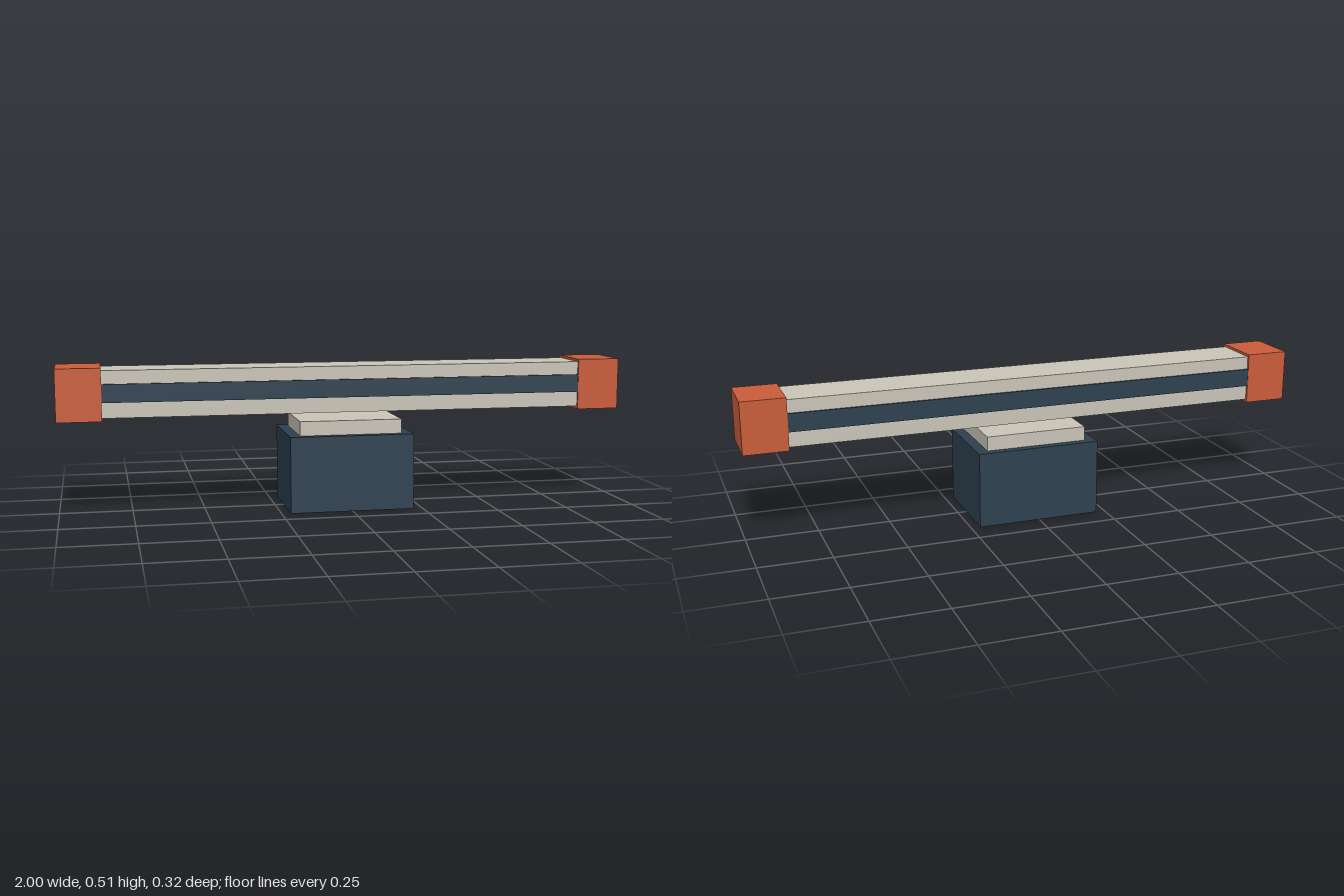
import * as THREE from 'three';

export function createModel() {
  const model = new THREE.Group();
  model.name = 'beamOnBase';

  const mat = (name, color) => {
    const m = new THREE.MeshStandardMaterial({ color });
    m.name = name;
    return m;
  };
  const navy = mat('navy', 0x2d404f);
  const cream = mat('cream', 0xc9c4b7);
  const orange = mat('orange', 0xc95c3a);

  // Box of width w and depth d, spanning heights y0 to y1
  const box = (name, material, w, d, y0, y1, x = 0, z = 0) => {
    const mesh = new THREE.Mesh(new THREE.BoxGeometry(w, y1 - y0, d), material);
    mesh.name = name;
    mesh.position.set(x, (y0 + y1) / 2, z);
    model.add(mesh);
  };

  // Pedestal with its raised plate
  box('base', navy, 0.436, 0.323, 0, 0.265);
  box('basePlate', cream, 0.36, 0.267, 0.265, 0.315);

  // Long beam hovering above the plate
  box('beam', cream, 1.7, 0.172, 0.338, 0.5);

  // Stripes along the front and back, and blocks on the ends
  for (const side of [1, -1]) {
    box(side > 0 ? 'frontStripe' : 'backStripe', navy, 1.7, 0.008, 0.391, 0.454, 0, side * 0.089);
    box(side > 0 ? 'leftEndBlock' : 'rightEndBlock', orange, 0.152, 0.189, 0.328, 0.509, side * 0.924);
  }

  return model;
}
